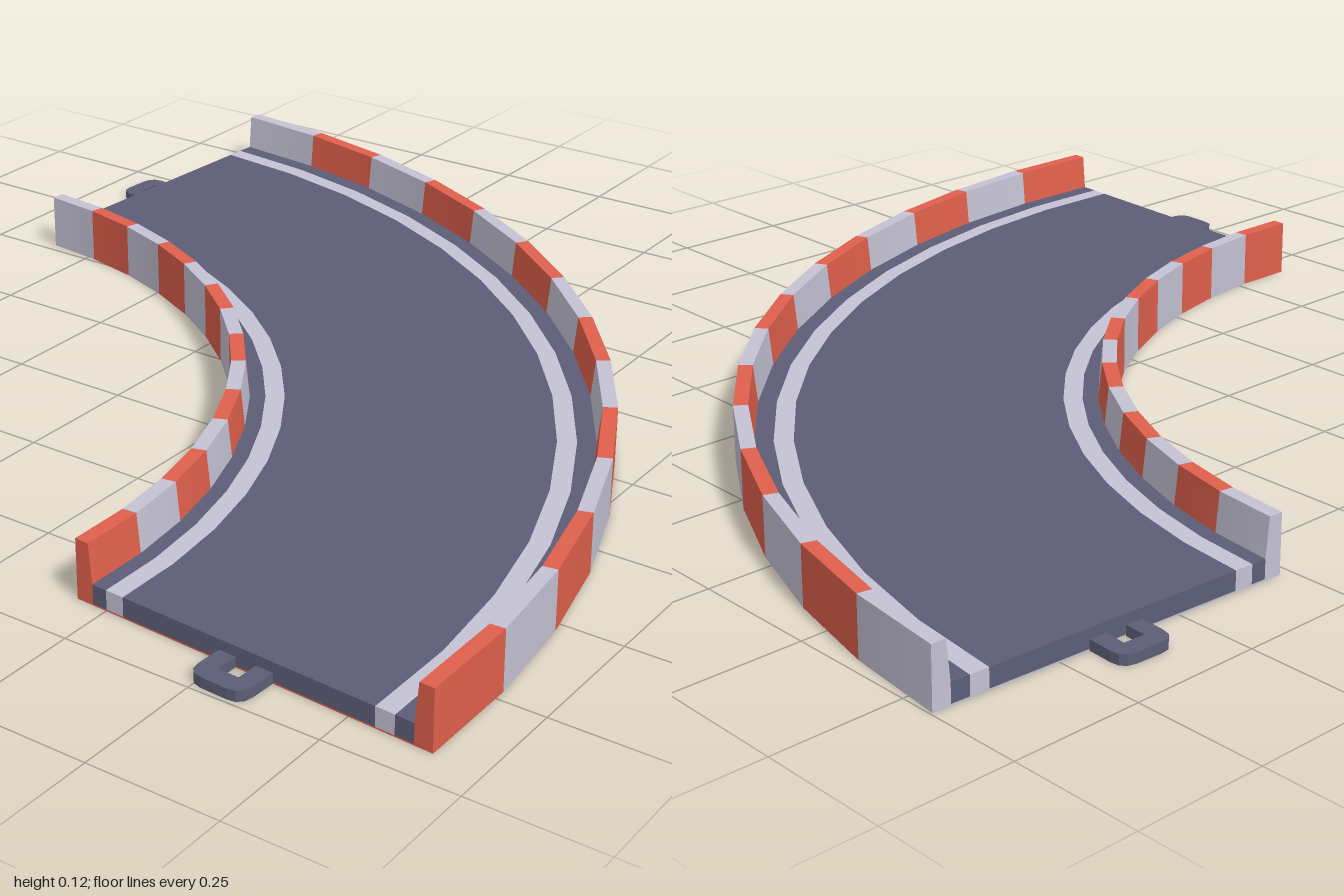
import * as THREE from 'three';

const CX = -0.917, CZ = 0.83;            // centre of the bend
const R_IN = 1.105, R_OUT = 1.829;
const SEGMENTS = 14;
const STEP = Math.PI / 2 / SEGMENTS;
const END = STEP / 2, START = END - Math.PI / 2;

// Sweep a closed counter-clockwise (radius, height) profile around the bend
function sweep(profile, a0, steps) {
  const pos = [], nor = [];
  const put = ([r, y], a, nr, ny, nt) => {
    const c = Math.cos(a), s = Math.sin(a);
    pos.push(CX + r * c, y, CZ + r * s);
    nor.push(nr * c - nt * s, ny, nr * s + nt * c);
  };
  profile.forEach((p, i) => {
    const q = profile[(i + 1) % profile.length];
    const len = Math.hypot(q[0] - p[0], q[1] - p[1]);
    const nr = (q[1] - p[1]) / len, ny = (p[0] - q[0]) / len;
    for (let k = 0; k < steps; k++) {
      const a = a0 + k * STEP, b = a + STEP;
      for (const [v, t] of [[p, a], [q, a], [q, b], [p, a], [q, b], [p, b]]) put(v, t, nr, ny, 0);
    }
  });
  // End caps
  const contour = profile.map(([r, y]) => new THREE.Vector2(r, y));
  for (const [i, j, k] of THREE.ShapeUtils.triangulateShape(contour, [])) {
    for (const n of [k, j, i]) put(profile[n], a0, 0, 0, -1);
    for (const n of [i, j, k]) put(profile[n], a0 + steps * STEP, 0, 0, 1);
  }
  const geo = new THREE.BufferGeometry();
  geo.setAttribute('position', new THREE.Float32BufferAttribute(pos, 3));
  geo.setAttribute('normal', new THREE.Float32BufferAttribute(nor, 3));
  return geo;
}

// Square loop with rounded corners, open towards the track
function connectorGeometry() {
  const s = new THREE.Shape();
  s.moveTo(-0.01, -0.055);
  s.lineTo(0.05, -0.055);
  s.quadraticCurveTo(0.079, -0.055, 0.079, -0.026);
  s.lineTo(0.079, 0.026);
  s.quadraticCurveTo(0.079, 0.055, 0.05, 0.055);
  s.lineTo(-0.01, 0.055);
  s.lineTo(-0.01, 0.021);
  s.lineTo(0.043, 0.021);
  s.lineTo(0.043, -0.021);
  s.lineTo(-0.01, -0.021);
  s.closePath();
  const geo = new THREE.ExtrudeGeometry(s, { depth: 0.02, bevelEnabled: false, curveSegments: 3 });
  return geo.rotateX(-Math.PI / 2);
}

export function createModel() {
  const group = new THREE.Group();
  const material = (name, color) => {
    const m = new THREE.MeshStandardMaterial({ color });
    m.name = name;
    return m;
  };
  const asphalt = material('asphalt', 0x5c5e76);
  const white = material('white', 0xc4c2d4);
  const red = material('red', 0xe0604c);
  const add = (name, geo, mat) => {
    const mesh = new THREE.Mesh(geo, mat);
    mesh.name = name;
    group.add(mesh);
    return mesh;
  };

  // Tray sections: thin floor with a kerb wall on each side, alternating in colour
  const tray = [
    [R_IN, 0], [R_OUT, 0], [R_OUT, 0.115], [R_OUT - 0.028, 0.115], [R_OUT - 0.035, 0.04],
    [R_OUT - 0.035, 0.003], [R_IN + 0.035, 0.003], [R_IN + 0.035, 0.04], [R_IN + 0.028, 0.115], [R_IN, 0.115],
  ];
  for (let i = 0; i < SEGMENTS; i++) {
    add('kerbSection' + (i + 1), sweep(tray, START + i * STEP, 1), i % 2 ? red : white);
  }

  // Road deck in strips: asphalt, edge line, asphalt, edge line, asphalt
  const edges = [R_IN + 0.035, 1.17, 1.207, 1.721, 1.758, R_OUT - 0.035];
  for (let i = 0; i < edges.length - 1; i++) {
    const [a, b] = [edges[i], edges[i + 1]];
    const strip = [[a, 0.003], [b, 0.003], [b, 0.04], [a, 0.04]];
    add(i % 2 ? 'edgeLine' : 'road', sweep(strip, START, SEGMENTS), i % 2 ? white : asphalt);
  }

  // Connector loop on each end
  const mid = (R_IN + R_OUT) / 2;
  for (const [name, a, s] of [['startConnector', START, -1], ['endConnector', END, 1]]) {
    const loop = add(name, connectorGeometry(), asphalt);
    loop.position.set(CX + mid * Math.cos(a), 0, CZ + mid * Math.sin(a));
    loop.rotation.y = Math.atan2(-s * Math.cos(a), -s * Math.sin(a));
  }
  return group;
}
